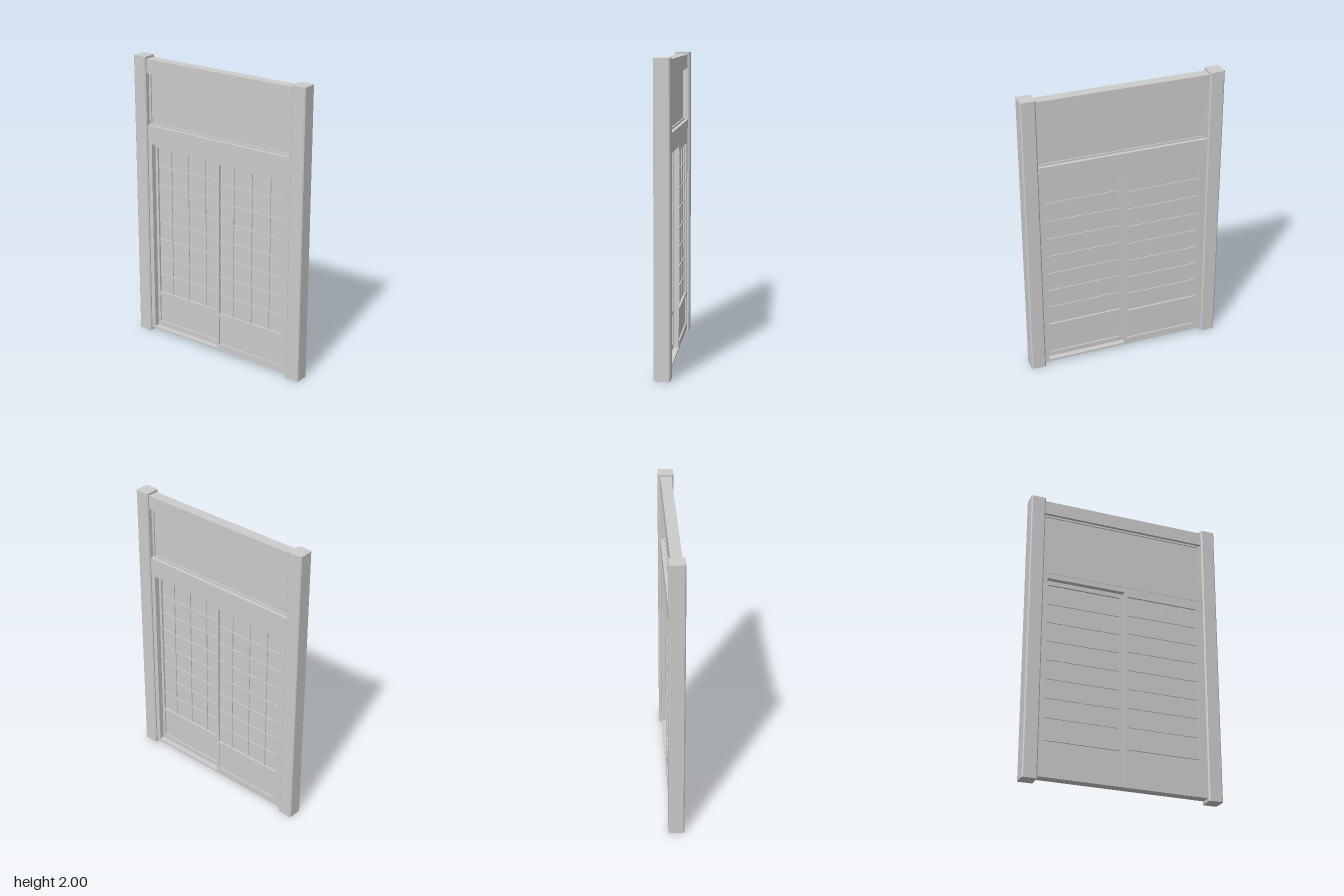
import * as THREE from 'three';

const material = new THREE.MeshStandardMaterial({ color: 0xcccccc });

// Box given by its limits along x and y, its depth and its middle z
function bar(parent, name, x0, x1, y0, y1, depth, z = 0) {
  const mesh = new THREE.Mesh(new THREE.BoxGeometry(x1 - x0, y1 - y0, depth), material);
  mesh.position.set((x0 + x1) / 2, (y0 + y1) / 2, z);
  mesh.name = name;
  parent.add(mesh);
}

// Upright post with chamfered vertical corners
function post(parent, name, x) {
  const w = 0.05, d = 0.052, c = 0.008;
  const shape = new THREE.Shape([
    [w - c, -d], [w, c - d], [w, d - c], [w - c, d],
    [c - w, d], [-w, d - c], [-w, c - d], [c - w, -d],
  ].map(([px, py]) => new THREE.Vector2(px, py)));
  const geometry = new THREE.ExtrudeGeometry(shape, { depth: 2, bevelEnabled: false });
  geometry.rotateX(-Math.PI / 2);
  const mesh = new THREE.Mesh(geometry, material);
  mesh.position.x = x;
  mesh.name = name;
  parent.add(mesh);
}

// Sliding door: stiles, rails, paper, lattice and lower board
function door(name, x0, x1, z) {
  const group = new THREE.Group();
  group.name = name;
  group.position.z = z;
  const bottom = 0.035, top = 1.4, depth = 0.034, stile = 0.02;
  const inL = x0 + stile, inR = x1 - stile;
  bar(group, 'leftStile', inR, x1, bottom, top, depth);
  bar(group, 'rightStile', x0, inL, bottom, top, depth);
  bar(group, 'topRail', inL, inR, 1.37, top, depth);
  bar(group, 'middleRail', inL, inR, 0.275, 0.3, depth);
  bar(group, 'bottomRail', inL, inR, bottom, 0.07, depth);
  bar(group, 'lowerBoard', inL, inR, 0.07, 0.275, 0.014);
  bar(group, 'paper', inL, inR, 0.3, 1.37, 0.006);

  // Lattice bars
  const mid = (x0 + x1) / 2, half = 0.004;
  for (let i = -1; i <= 1; i++) {
    const x = mid + i * 0.145;
    bar(group, 'latticeUpright', x - half, x + half, 0.3, 1.37, 0.018);
  }
  for (let i = 1; i < 8; i++) {
    const y = 0.3 + i * 1.07 / 8;
    bar(group, 'latticeCrossbar', inL, inR, y - half, y + half, 0.02);
  }
  return group;
}

export function createModel() {
  const model = new THREE.Group();
  model.name = 'slidingDoorBay';

  // Posts and beams
  post(model, 'leftPost', 0.63);
  post(model, 'rightPost', -0.63);
  bar(model, 'topBeam', -0.58, 0.58, 1.89, 1.985, 0.072);
  bar(model, 'middleBeam', -0.58, 0.58, 1.435, 1.53, 0.076);

  // Transom panel in a thin frame
  bar(model, 'transomPanel', -0.58, 0.58, 1.53, 1.89, 0.012);
  for (const s of [-1, 1]) {
    bar(model, 'transomFrameSide', s * 0.5725 - 0.0075, s * 0.5725 + 0.0075, 1.53, 1.89, 0.03);
  }
  bar(model, 'transomFrameTop', -0.565, 0.565, 1.877, 1.89, 0.03);
  bar(model, 'transomFrameBottom', -0.565, 0.565, 1.53, 1.543, 0.03);

  // Door frame
  for (const s of [-1, 1]) {
    bar(model, 'jamb', s * 0.565 - 0.015, s * 0.565 + 0.015, 0.02, 1.435, 0.07);
  }
  bar(model, 'head', -0.55, 0.55, 1.4, 1.435, 0.07);
  bar(model, 'sill', -0.55, 0.55, 0.02, 0.035, 0.07);

  // Doors on two tracks: the right one runs behind the left one
  model.add(door('rightDoor', -0.55, 0, -0.018));
  model.add(door('leftDoor', 0, 0.55, 0.018));
  return model;
}
